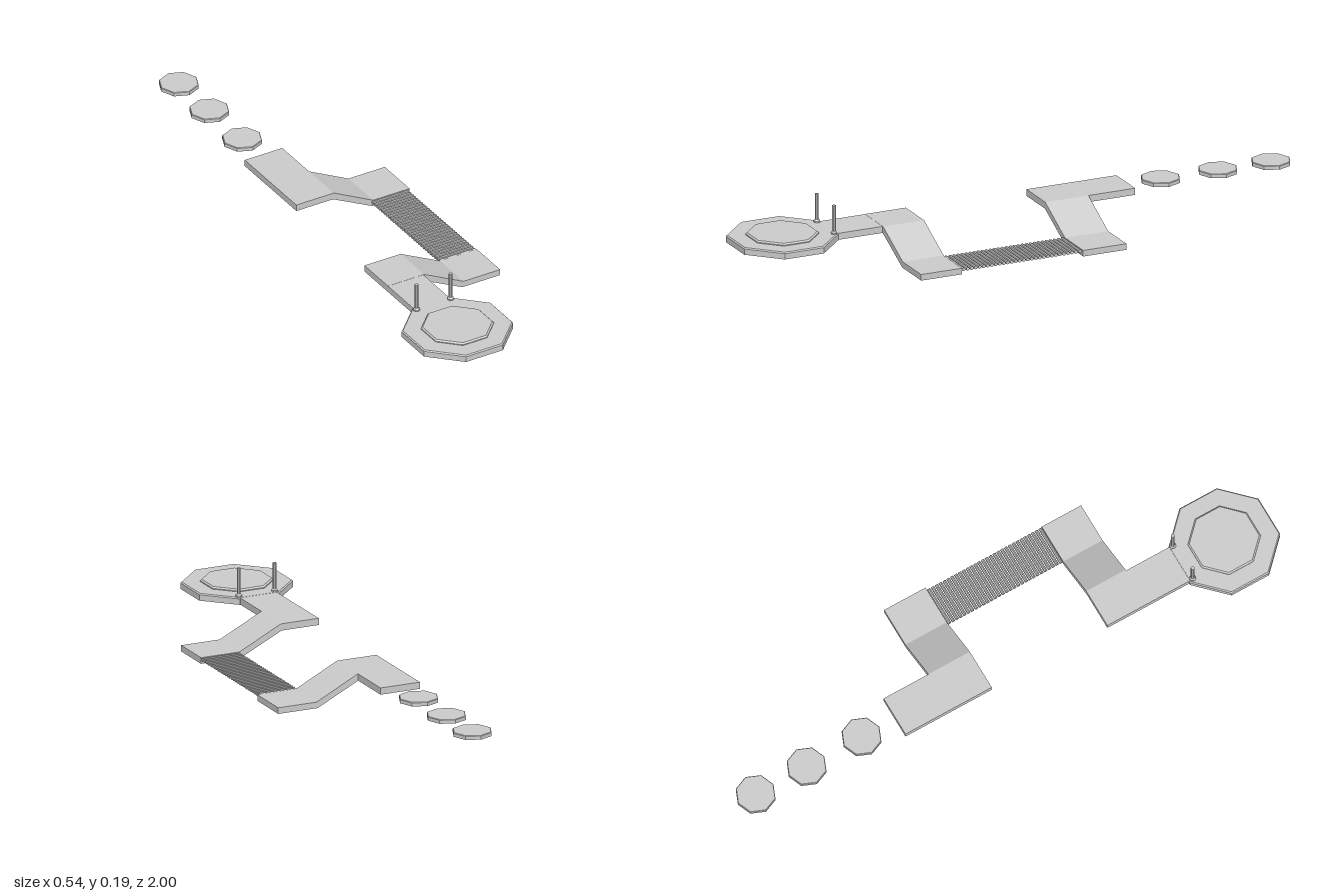
import * as THREE from 'three';

const mat = new THREE.MeshStandardMaterial({ color: 0xcccccc, flatShading: true });

function add(parent, name, geometry, x = 0, y = 0, z = 0) {
  const mesh = new THREE.Mesh(geometry, mat);
  mesh.name = name;
  mesh.position.set(x, y, z);
  parent.add(mesh);
  return mesh;
}

// Solid eight-sided slab with a small bevel on its top edge
function octagon(radius, y0, y1, bevel) {
  const profile = [[0, y0], [radius, y0], [radius, y1 - bevel], [radius - bevel, y1], [0, y1]];
  return new THREE.LatheGeometry(profile.map(p => new THREE.Vector2(...p)), 8);
}

// Upper deck, ramp and low landing as one side profile, run along z
function rampDeck(x0, x1, shift, bottom, zMin, zMax) {
  const shape = new THREE.Shape([
    [x0, 0.074], [-0.033 + shift, 0.074], [0.116 + shift, bottom], [x1, bottom],
    [x1, bottom + 0.021], [0.12 + shift, bottom + 0.021], [-0.03 + shift, 0.097], [x0, 0.097],
  ].map(p => new THREE.Vector2(...p)));
  const geometry = new THREE.ExtrudeGeometry(shape, { depth: zMax - zMin, bevelEnabled: false });
  return geometry.translate(0, 0, zMin);
}

function box(x0, x1, y0, y1, z0, z1) {
  return new THREE.BoxGeometry(x1 - x0, y1 - y0, z1 - z0)
    .translate((x0 + x1) / 2, (y0 + y1) / 2, (z0 + z1) / 2);
}

export function createModel() {
  const model = new THREE.Group();
  model.name = 'walkway';

  // Round platform with a raised centre
  const corner = 1 / Math.cos(Math.PI / 8);
  const base = add(model, 'platform', octagon(0.17 * corner, 0.073, 0.097, 0.004), -0.103, 0, 0.83);
  const step = add(model, 'platformStep', octagon(0.111 * corner, 0.096, 0.105, 0.005), -0.103, 0, 0.83);
  base.rotation.y = step.rotation.y = Math.PI / 8;

  // Posts at the platform entrance
  const post = new THREE.LatheGeometry(
    [[0, 0.09], [0.011, 0.09], [0.011, 0.102], [0.0065, 0.107], [0.0065, 0.195], [0, 0.195]]
      .map(p => new THREE.Vector2(...p)), 8);
  for (const x of [-0.165, -0.035]) add(model, 'post', post, x, 0, 0.675);

  // Front and back walkways
  add(model, 'frontRamp', rampDeck(-0.168, 0.26, 0, 0.001, 0.352, 0.5));
  add(model, 'frontPath', box(-0.168, -0.033, 0.074, 0.0965, 0.5, 0.672));
  add(model, 'backRamp', rampDeck(-0.165, 0.267, 0.008, 0, -0.238, -0.082));
  add(model, 'backPath', box(-0.165, -0.022, 0.074, 0.097, -0.407, -0.238));

  // Slatted bridge between the landings
  const bridge = new THREE.Group();
  bridge.name = 'bridge';
  const slat = new THREE.CylinderGeometry(0.006, 0.006, 0.137, 8).rotateZ(Math.PI / 2);
  const count = 30;
  for (let i = 0; i < count; i++) {
    add(bridge, 'slat', slat, 0.19, 0.016, -0.075 + 0.42 * i / (count - 1));
  }
  model.add(bridge);

  // Stepping stones trailing off behind
  const stone = octagon(0.067, 0.08, 0.094, 0.002);
  for (const z of [-0.534, -0.741, -0.933]) add(model, 'steppingStone', stone, -0.098, 0, z);

  return model;
}
